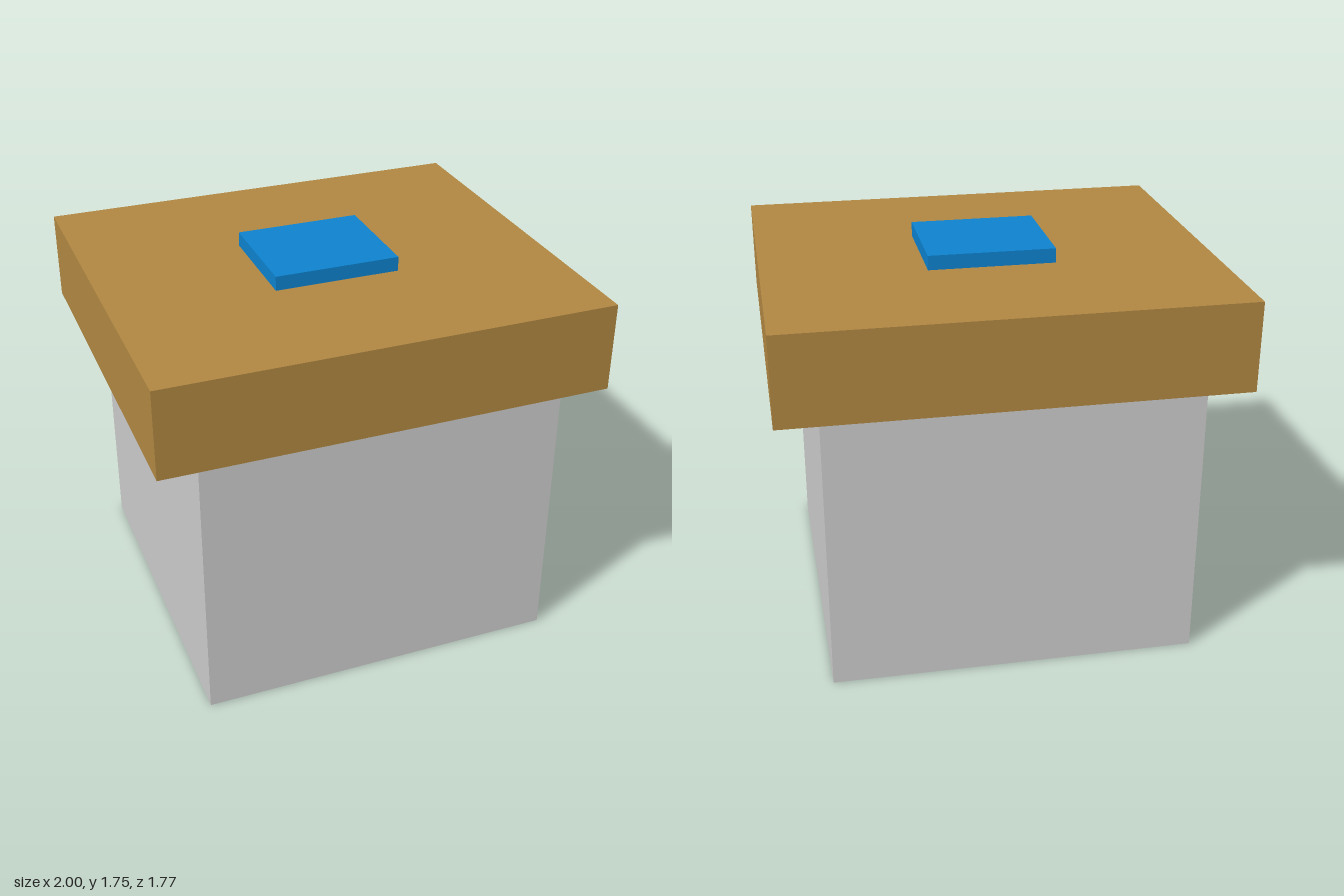
import * as THREE from 'three';

// Box standing on height y0, centred on x and z
function block(name, width, y0, y1, depth, color) {
  const mesh = new THREE.Mesh(
    new THREE.BoxGeometry(width, y1 - y0, depth),
    new THREE.MeshStandardMaterial({ color })
  );
  mesh.name = name;
  mesh.position.y = (y0 + y1) / 2;
  return mesh;
}

export function createModel() {
  const group = new THREE.Group();
  group.name = 'liddedBox';
  group.add(
    // Square body
    block('body', 1.63, 0, 1.28, 1.63, 0xcccccc),
    // Overhanging lid, wider across x than z
    block('lid', 2, 1.28, 1.68, 1.77, 0xb08742),
    // Small raised plate on the lid
    block('topPlate', 0.565, 1.68, 1.745, 0.5, 0x0d82ce)
  );
  return group;
}
